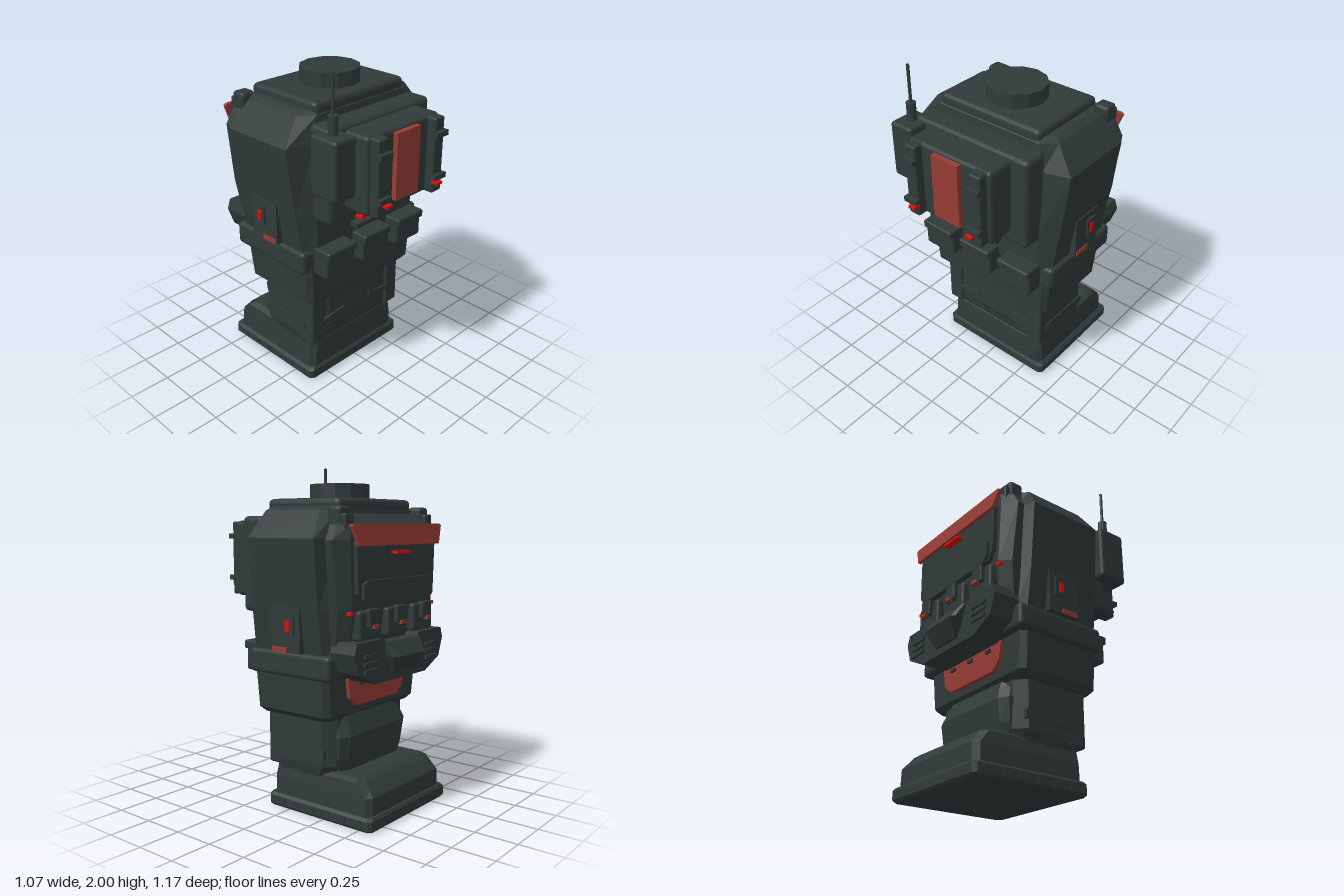
import * as THREE from 'three';
import { RoundedBoxGeometry } from 'three/addons/geometries/RoundedBoxGeometry.js';

const material = (name, color) => {
  const m = new THREE.MeshStandardMaterial({ color, flatShading: true });
  m.name = name;
  return m;
};

export function createModel() {
  const model = new THREE.Group();
  model.name = 'armouredTorso';
  const armour = material('darkArmour', 0x303a39);
  const red = material('dullRed', 0x963c35);
  const glow = material('brightRed', 0xe00c0c);

  const add = (name, geometry, mat = armour, parent = model) => {
    const mesh = new THREE.Mesh(geometry, mat);
    mesh.name = name;
    parent.add(mesh);
    return mesh;
  };

  // Box given by its limits; r > 0 rounds the edges
  const box = (name, x0, x1, y0, y1, z0, z1, r = 0, mat = armour) => {
    const w = x1 - x0, h = y1 - y0, d = z1 - z0;
    const g = r ? new RoundedBoxGeometry(w, h, d, 2, r) : new THREE.BoxGeometry(w, h, d);
    g.translate((x0 + x1) / 2, (y0 + y1) / 2, (z0 + z1) / 2);
    return add(name, g, mat);
  };

  // The same box on both sides of the body
  const pair = (name, x0, x1, ...rest) => {
    box('left' + name, x0, x1, ...rest);
    box('right' + name, -x1, -x0, ...rest);
  };

  const cylinder = (name, r, y0, y1, x, z, sides) => {
    const g = new THREE.CylinderGeometry(r, r, y1 - y0, sides);
    return add(name, g.translate(x, (y0 + y1) / 2, z));
  };

  // Stack of chamfered rectangles: [y, halfWidth, zBack, zFront, chamferX, chamferZ]
  const loft = (name, sections, mat = armour) => {
    const pos = [], idx = [], n = 8;
    for (const [y, w, z0, z1, cx, cz] of sections) {
      const ring = [[-w + cx, z1], [w - cx, z1], [w, z1 - cz], [w, z0 + cz],
        [w - cx, z0], [-w + cx, z0], [-w, z0 + cz], [-w, z1 - cz]];
      for (const [x, z] of ring) pos.push(x, y, z);
    }
    const top = (sections.length - 1) * n;
    for (let s = 0; s < top; s += n)
      for (let i = 0; i < n; i++) {
        const a = s + i, b = s + (i + 1) % n;
        idx.push(a, b, b + n, a, b + n, a + n);
      }
    for (let i = 1; i < n - 1; i++) idx.push(0, i + 1, i, top, top + i, top + i + 1);
    const g = new THREE.BufferGeometry();
    g.setAttribute('position', new THREE.Float32BufferAttribute(pos, 3));
    g.setIndex(idx);
    const flat = g.toNonIndexed();
    flat.computeVertexNormals();
    return add(name, flat, mat);
  };

  // Mirrored outline in x and y, extruded along +z from z
  const plate = (name, half, z, depth, mat = armour) => {
    const pts = [...half, ...half.slice().reverse().map(([x, y]) => [-x, y])];
    const shape = new THREE.Shape(pts.map(([x, y]) => new THREE.Vector2(x, y)));
    const g = new THREE.ExtrudeGeometry(shape, { depth, bevelEnabled: false });
    return add(name, g.translate(0, 0, z), mat);
  };

  // Boots: sole with tread blocks, upper and toe cap
  loft('sole', [
    [0, 0.375, -0.575, 0.145, 0.02, 0.02], [0.015, 0.39, -0.585, 0.155, 0.02, 0.02],
    [0.065, 0.39, -0.585, 0.155, 0.02, 0.02], [0.08, 0.375, -0.575, 0.145, 0.02, 0.02]]);
  for (let i = 0; i < 6; i++) {
    const z = 0.06 - i * 0.11;
    pair('Tread', 0.37, 0.394, 0.02, 0.065, z - 0.035, z + 0.035);
  }
  loft('bootUpper', [
    [0.07, 0.365, -0.56, 0.14, 0.03, 0.03], [0.18, 0.36, -0.56, 0.14, 0.03, 0.03],
    [0.215, 0.355, -0.53, 0.138, 0.04, 0.03], [0.25, 0.35, -0.5, 0.135, 0.04, 0.03],
    [0.27, 0.32, -0.47, 0.11, 0.04, 0.03]]);

  // Legs
  loft('legs', [
    [0.24, 0.36, -0.27, 0.13, 0.05, 0.06], [0.3, 0.375, -0.3, 0.14, 0.06, 0.06],
    [0.58, 0.375, -0.3, 0.14, 0.06, 0.06]]);
  loft('kneePads', [
    [0.27, 0.29, -0.33, -0.2, 0.05, 0.03], [0.34, 0.31, -0.34, -0.2, 0.05, 0.03],
    [0.47, 0.32, -0.355, -0.2, 0.06, 0.03], [0.53, 0.3, -0.33, -0.2, 0.06, 0.03],
    [0.58, 0.28, -0.31, -0.2, 0.05, 0.03]]);
  pair('CalfPlate', 0.27, 0.375, 0.26, 0.58, 0.05, 0.158, 0.015);
  loft('calfGuard', [
    [0.27, 0.2, 0, 0.13, 0.05, 0.03], [0.34, 0.3, 0, 0.15, 0.08, 0.03],
    [0.56, 0.3, 0, 0.15, 0.08, 0.03]]);
  for (const s of [-1, 1]) {
    const strap = add('calfStrap', new THREE.BoxGeometry(0.2, 0.035, 0.02));
    strap.position.set(s * 0.21, 0.395, 0.15);
    strap.rotation.z = -s * 0.15;
  }
  pair('LegBuckle', 0.36, 0.385, 0.35, 0.4, -0.26, 0.1);

  // Hips and belt
  loft('hips', [
    [0.57, 0.4, -0.3, 0.18, 0.03, 0.03], [0.6, 0.43, -0.325, 0.205, 0.03, 0.03],
    [0.84, 0.45, -0.335, 0.21, 0.03, 0.03]]);
  box('belt', -0.48, 0.48, 0.81, 0.95, -0.375, 0.205, 0.025);
  plate('crotchGuard', [[0.2, 0.64], [0.26, 0.69], [0.28, 0.8]], -0.352, 0.03, red);
  for (const x of [-0.17, 0, 0.17])
    box('guardStud', x - 0.02, x + 0.02, 0.755, 0.775, -0.365, -0.35);

  // Torso and collar
  loft('torso', [
    [0.9, 0.45, -0.36, 0.225, 0.07, 0.05], [1.18, 0.49, -0.37, 0.225, 0.1, 0.06],
    [1.57, 0.535, -0.37, 0.2, 0.15, 0.05], [1.72, 0.425, -0.34, 0.185, 0.08, 0.07],
    [1.74, 0.39, -0.32, 0.16, 0.06, 0.07]]);
  box('collar', -0.347, 0.347, 1.6, 1.785, -0.34, 0.18, 0.03);
  cylinder('neck', 0.175, 1.77, 1.87, 0, -0.07, 12);

  // Chest armour on the -z side
  loft('chest', [
    [0.93, 0.42, -0.42, -0.3, 0.06, 0.05], [1.2, 0.45, -0.46, -0.3, 0.06, 0.05],
    [1.56, 0.49, -0.46, -0.3, 0.08, 0.06], [1.64, 0.44, -0.45, -0.3, 0.05, 0.05],
    [1.7, 0.36, -0.38, -0.3, 0.03, 0.03]]);
  plate('chestPanel', [[0.33, 1.22], [0.37, 1.28], [0.38, 1.54], [0.36, 1.6]], -0.485, 0.06);
  plate('chestLip', [[0.3, 1.21], [0.34, 1.25], [0.34, 1.33], [0.3, 1.35]], -0.503, 0.03);
  const band = plate('chestBand', [[0.39, -0.055], [0.435, 0.05], [0.42, 0.06]], -0.01, 0.02, red);
  band.position.set(0, 1.585, -0.492);
  band.rotation.x = 0.15;
  box('chestLight', -0.07, 0.07, 1.485, 1.5, -0.525, -0.48, 0, glow);
  pair('ShoulderStrap', 0.335, 0.43, 1.55, 1.74, -0.41, -0.32, 0.02);
  pair('ShoulderClip', 0.35, 0.42, 1.6, 1.7, -0.44, -0.39, 0.01);

  // Chest pouches with small tags
  for (const x of [-0.26, 0, 0.26]) {
    box('chestPouch', x - 0.1, x + 0.1, 1.03, 1.19, -0.49, -0.4, 0.015);
    box('pouchFlap', x - 0.045, x + 0.045, 1.1, 1.2, -0.515, -0.48, 0.008);
    box('pouchTag', x - 0.02, x + 0.02, 1.095, 1.115, -0.528, -0.5, 0, red);
  }
  pair('ChestTag', 0.38, 0.41, 1.17, 1.19, -0.465, -0.44, 0, glow);

  // Belly plate with centre wedge and vents
  plate('bellyPlate', [[0.25, 0.79], [0.4, 0.86], [0.44, 0.97], [0.42, 1.03],
    [0.18, 1.03], [0.14, 1.0]], -0.515, 0.16);
  loft('bellyWedge', [
    [0.83, 0.1, -0.53, -0.45, 0.01, 0.01], [0.93, 0.15, -0.585, -0.45, 0.02, 0.02],
    [1.01, 0.17, -0.53, -0.45, 0.01, 0.01]]);
  for (let i = 0; i < 3; i++) {
    const y = 0.86 + i * 0.04;
    pair('Vent', 0.24, 0.36, y, y + 0.02, -0.53, -0.51);
  }

  // Side control panels
  pair('SidePanel', 0.42, 0.5, 0.95, 1.2, -0.19, 0.015);
  pair('SideFrame', 0.48, 0.512, 1.045, 1.16, -0.155, -0.08);
  pair('SideLight', 0.5, 0.518, 1.07, 1.13, -0.128, -0.1, 0, glow);
  pair('SideStripe', 0.49, 0.506, 0.95, 0.98, -0.1, 0.005, 0, red);

  // Backpack on the +z side
  box('packBase', -0.4, 0.395, 1.14, 1.69, 0.18, 0.335, 0.03);
  box('packBody', -0.288, 0.288, 1.215, 1.665, 0.3, 0.495, 0.025);
  box('packPanel', -0.092, 0.092, 1.26, 1.645, 0.49, 0.525, 0, red);
  pair('PackRail', 0.185, 0.265, 1.22, 1.66, 0.45, 0.55, 0.012);
  for (const y of [1.32, 1.57]) pair('RailClamp', 0.18, 0.27, y - 0.015, y + 0.015, 0.54, 0.575);
  pair('PackLight', 0.185, 0.23, 1.28, 1.295, 0.54, 0.585, 0, glow);

  // Radio box and antenna
  box('radioBox', -0.47, -0.315, 1.335, 1.675, 0.26, 0.45, 0.02);
  cylinder('antennaBase', 0.028, 1.66, 1.78, -0.393, 0.355, 12);
  cylinder('antenna', 0.009, 1.77, 2, -0.393, 0.355, 8);

  // Lower bars and belt pouches on the +z side
  box('lowerLight', -0.09, 0.09, 1.055, 1.072, 0.2, 0.275, 0, glow);
  box('lowerBar', -0.13, 0.13, 1.015, 1.04, 0.2, 0.28);
  for (const x of [-0.288, 0, 0.288]) {
    box('beltPouch', x - 0.11, x + 0.11, 0.795, 0.96, 0.18, 0.31, 0.015);
    box('beltPouchLid', x - 0.112, x + 0.112, 0.92, 0.97, 0.18, 0.33, 0.012);
  }
  return model;
}
